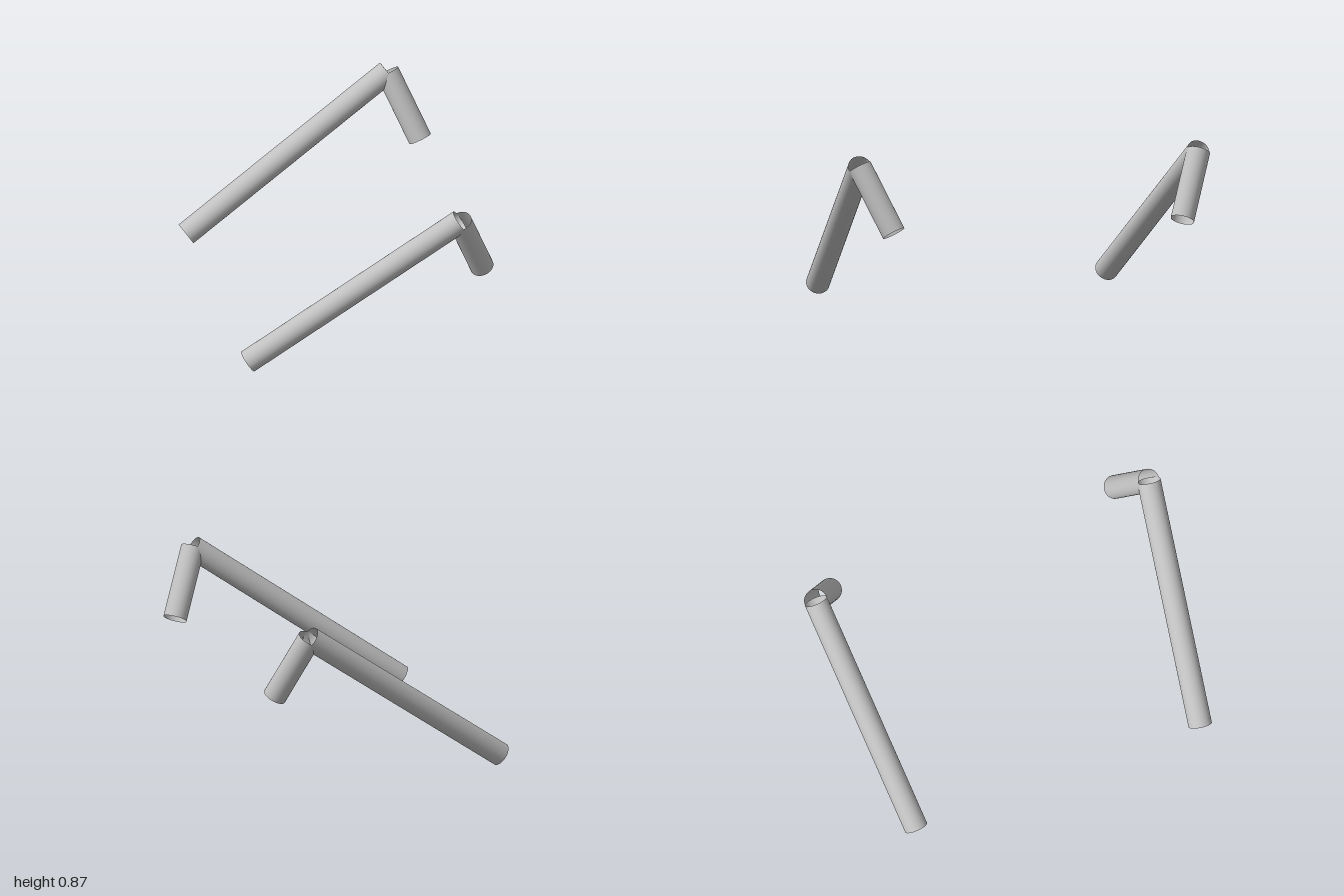
import * as THREE from 'three';

const RADIUS = 0.0625;

// Open-ended tube running from point a to point b
function tube(name, a, b, material) {
  const dir = new THREE.Vector3().subVectors(b, a);
  const geometry = new THREE.CylinderGeometry(RADIUS, RADIUS, dir.length(), 32, 1, true);
  const mesh = new THREE.Mesh(geometry, material);
  mesh.name = name;
  mesh.position.copy(a).lerp(b, 0.5);
  mesh.quaternion.setFromUnitVectors(new THREE.Vector3(0, 1, 0), dir.normalize());
  return mesh;
}

export function createModel() {
  const model = new THREE.Group();
  model.name = 'bentTubePair';
  const grey = new THREE.MeshStandardMaterial({ color: 0xc0c0c0, side: THREE.DoubleSide });
  grey.name = 'light grey';

  // One bent limb on each side, mirrored in z
  for (const [side, s] of [['front', 1], ['back', -1]]) {
    const foot = new THREE.Vector3(-0.64, 0.0515, 0.8 * s);
    const joint = new THREE.Vector3(0.47, 0.823, 0.938 * s);
    const tip = new THREE.Vector3(0.617, 0.483, 0.8 * s);
    const limb = new THREE.Group();
    limb.name = side + 'Limb';
    limb.add(tube(side + 'LongTube', foot, joint, grey));
    limb.add(tube(side + 'ShortTube', joint, tip, grey));
    model.add(limb);
  }
  return model;
}
